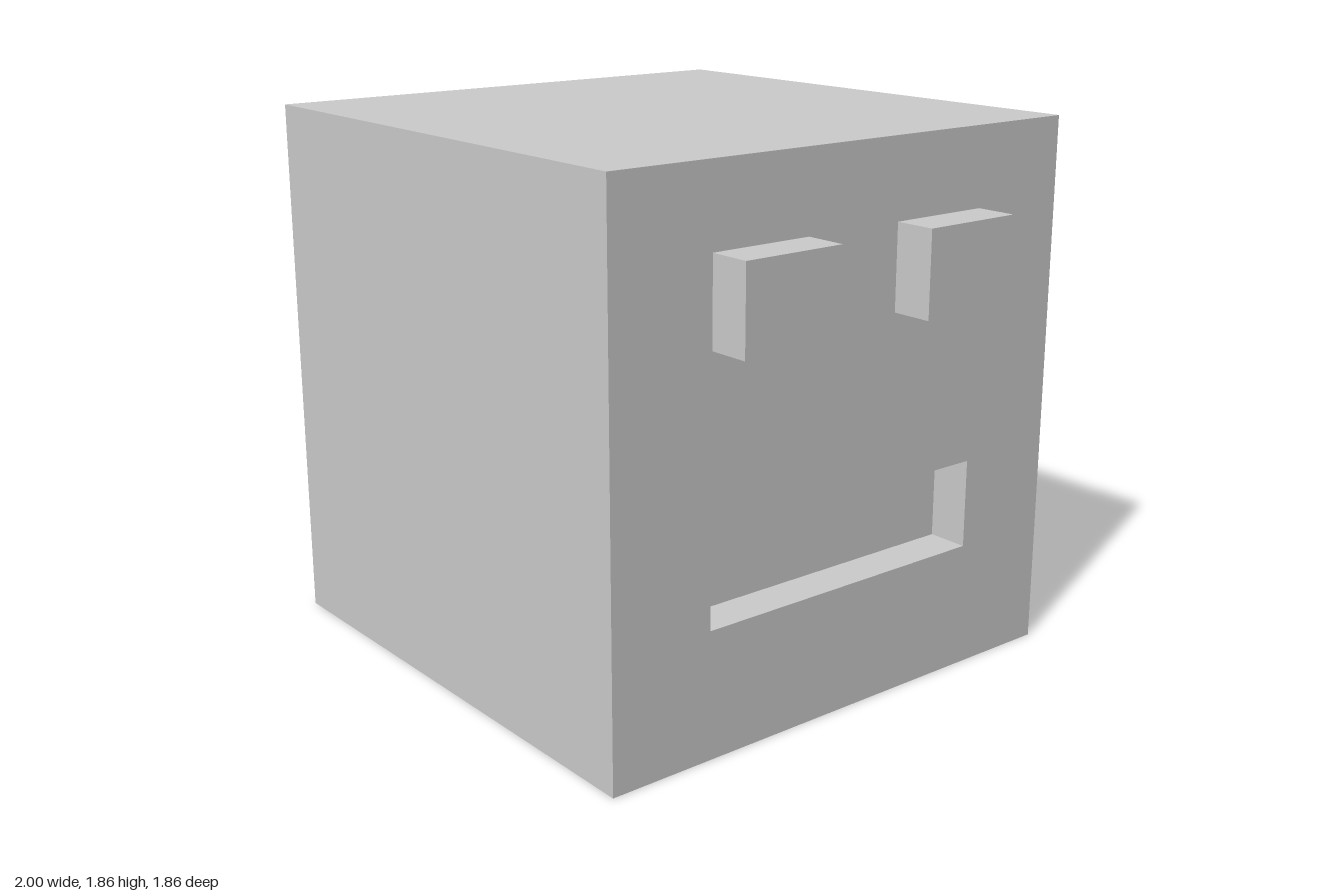
import * as THREE from 'three';

const SIZE = 1.857;            // edge of the cube
const DEPTH = 0.143;           // eye height and mouth depth
const FACE_X = SIZE - 1;       // plane of the face
const MOUTH = { y: 0.582, h: 0.304, w: 1.116 };
const EYE = { y: 1.445, h: 0.288, w: 0.37, z: 0.372 };

const material = new THREE.MeshStandardMaterial({ color: 0xcccccc, flatShading: true });

// Box without its +x side; inverted, it becomes the lining of a recess
function openBox(w, h, d, inverted = false) {
  const geometry = new THREE.BoxGeometry(w, h, d);
  const index = Array.from(geometry.index.array).slice(6);
  geometry.setIndex(inverted ? index.reverse() : index);
  geometry.clearGroups();
  geometry.computeVertexNormals();
  return geometry;
}

// Corners of a centred rectangle
function rectangle(w, h, y) {
  return [[-w, -h], [w, -h], [w, h], [-w, h]]
    .map(([u, v]) => new THREE.Vector2(u / 2, y + v / 2));
}

export function createModel() {
  const model = new THREE.Group();
  const add = (name, geometry, x, y, z) => {
    const mesh = new THREE.Mesh(geometry, material);
    mesh.name = name;
    mesh.position.set(x, y, z);
    model.add(mesh);
  };

  // Cube body, closed on the +x side by the face panel
  add('body', openBox(SIZE, SIZE, SIZE), FACE_X - SIZE / 2, SIZE / 2, 0);

  // Face panel with the mouth cut out
  const face = new THREE.Shape(rectangle(SIZE, SIZE, SIZE / 2));
  face.holes.push(new THREE.Path(rectangle(MOUTH.w, MOUTH.h, MOUTH.y)));
  add('facePanel', new THREE.ShapeGeometry(face).rotateY(Math.PI / 2), FACE_X, 0, 0);

  // Recessed mouth
  add('mouthRecess', openBox(DEPTH, MOUTH.h, MOUTH.w, true), FACE_X - DEPTH / 2, MOUTH.y, 0);

  // Protruding eyes
  for (const side of [-1, 1]) {
    add(side > 0 ? 'frontEye' : 'backEye',
      new THREE.BoxGeometry(DEPTH, EYE.h, EYE.w), FACE_X + DEPTH / 2, EYE.y, side * EYE.z);
  }

  return model;
}
